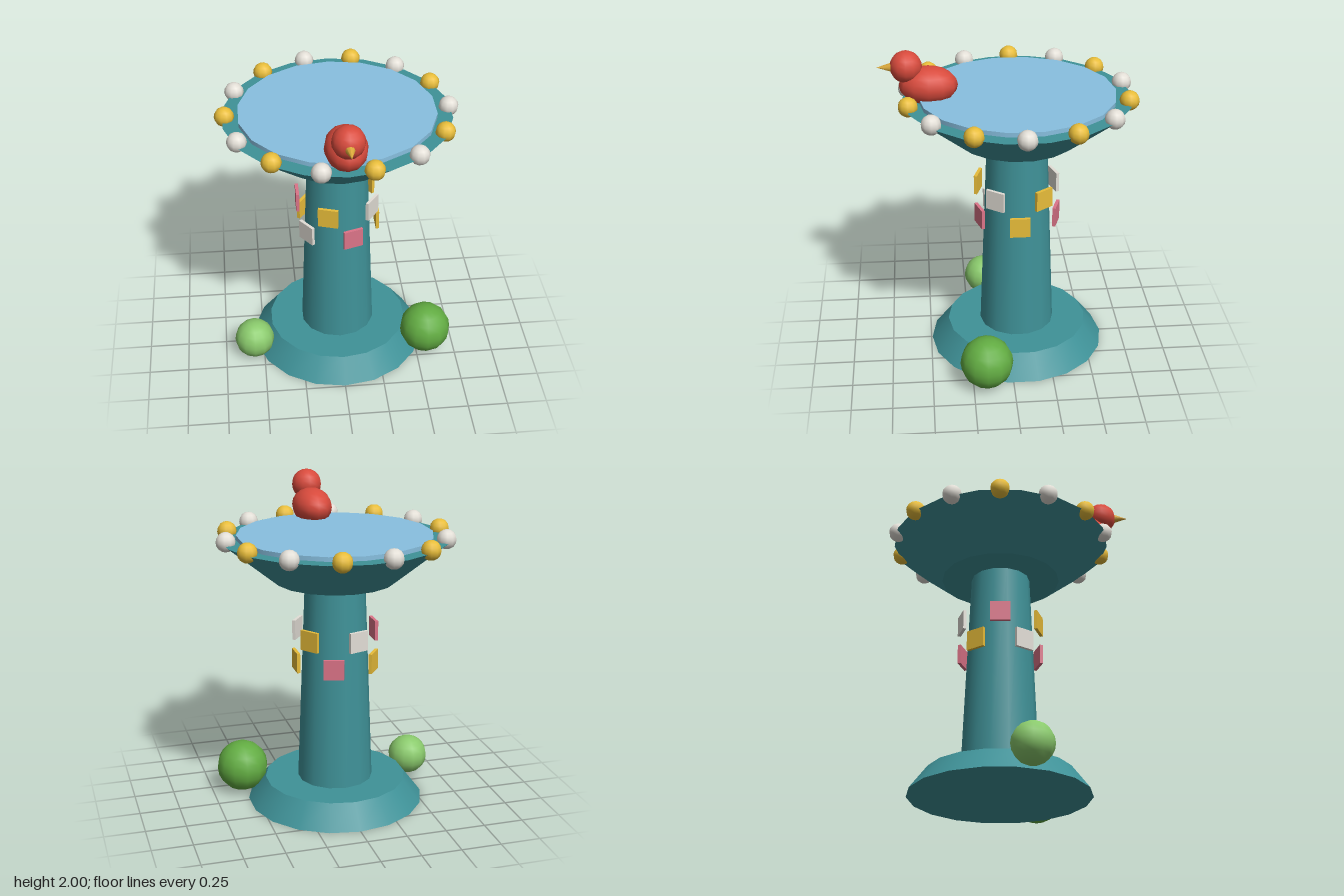
import * as THREE from 'three';

const mat = (color) => new THREE.MeshStandardMaterial({ color });
const teal = mat(0x3f9298), water = mat(0x88c0e0), yellow = mat(0xe8bd3a), white = mat(0xe2ded6);
const pink = mat(0xdc7488), red = mat(0xd84a3c), green = mat(0x62ac42), lightGreen = mat(0x8aca6c);
const beakColor = mat(0xdcaa3a);

function add(parent, name, geometry, material, x = 0, y = 0, z = 0) {
  const mesh = new THREE.Mesh(geometry, material);
  mesh.name = name;
  mesh.position.set(x, y, z);
  parent.add(mesh);
  return mesh;
}

// Cylinder standing between two heights
function drum(parent, name, material, rTop, rBottom, y0, y1, sides) {
  return add(parent, name, new THREE.CylinderGeometry(rTop, rBottom, y1 - y0, sides), material, 0, (y0 + y1) / 2, 0);
}

export function createModel() {
  const model = new THREE.Group();
  model.name = 'birdBath';

  // Bath, set slightly back so the bird's beak balances the depth
  const bath = new THREE.Group();
  bath.name = 'bath';
  bath.position.z = -0.062;
  model.add(bath);
  drum(bath, 'base', teal, 0.445, 0.555, 0, 0.145, 18);
  drum(bath, 'column', teal, 0.185, 0.236, 0.145, 1.437, 14);
  drum(bath, 'bowl', teal, 0.69, 0.373, 1.437, 1.695, 18);
  drum(bath, 'water', water, 0.597, 0.597, 1.695, 1.722, 18);

  // Alternating beads around the rim
  const bead = new THREE.SphereGeometry(0.06, 10, 8);
  for (let i = 0; i < 14; i++) {
    const a = (i / 14) * Math.PI * 2;
    add(bath, 'rimBead', bead, i % 2 ? yellow : white, 0.67 * Math.cos(a), 1.71, 0.67 * Math.sin(a));
  }

  // Mosaic tiles in two staggered rows around the column
  const tile = new THREE.BoxGeometry(0.125, 0.125, 0.02);
  const tileColors = [yellow, white, pink];
  for (let i = 0; i < 10; i++) {
    const a = (i / 10) * Math.PI * 2;
    const mesh = add(bath, 'mosaicTile', tile, tileColors[i % 3],
      0.25 * Math.cos(a), i % 2 ? 1.1 : 0.935, 0.25 * Math.sin(a));
    mesh.rotation.y = Math.PI / 2 - a;
  }

  // Bird perched on the rim
  const bird = new THREE.Group();
  bird.name = 'bird';
  model.add(bird);
  const body = add(bird, 'birdBody', new THREE.SphereGeometry(0.125, 12, 10), red, 0, 1.785, 0.466);
  body.scale.set(1, 0.92, 1.4);
  add(bird, 'birdHead', new THREE.SphereGeometry(0.096, 12, 10), red, 0, 1.904, 0.595);
  const beak = add(bird, 'birdBeak', new THREE.ConeGeometry(0.033, 0.1, 8), beakColor, 0, 1.903, 0.717);
  beak.rotation.x = Math.PI / 2;

  // Bushes beside the base
  add(model, 'largeBush', new THREE.SphereGeometry(0.163, 12, 10), green, 0.557, 0.172, 0.167);
  add(model, 'smallBush', new THREE.SphereGeometry(0.127, 12, 10), lightGreen, -0.56, 0.133, 0.125);

  return model;
}
